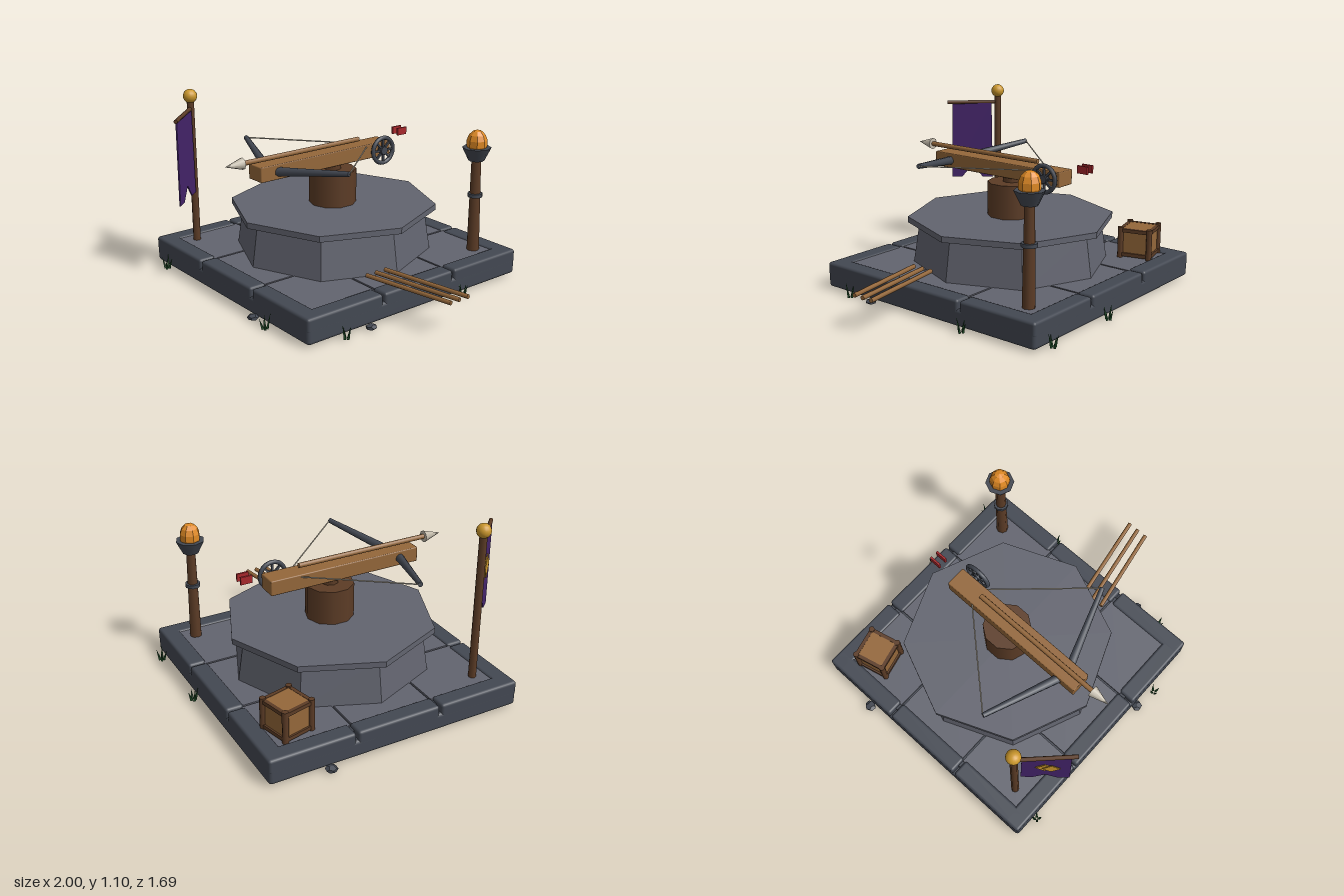
import * as THREE from 'three';
import { RoundedBoxGeometry } from 'three/addons/geometries/RoundedBoxGeometry.js';

const V = (x, y, z) => new THREE.Vector3(x, y, z);

export function createModel() {
  const mat = (name, color, extra = {}) => {
    const m = new THREE.MeshStandardMaterial({ color, ...extra });
    m.name = name;
    return m;
  };
  const stone = mat('stone', 0x62646f, { flatShading: true });
  const slate = mat('slate', 0x434852);
  const tan = mat('tanWood', 0x94673a);
  const brown = mat('darkWood', 0x5c3c26);
  const purple = mat('purpleCloth', 0x44246a, { side: THREE.DoubleSide });
  const gold = mat('gold', 0xcc982c);
  const orange = mat('flameOrange', 0xe08a24, { flatShading: true });
  const red = mat('redFletching', 0xa8282c);
  const bone = mat('paleMetal', 0xc4bcac);
  const green = mat('grassGreen', 0x1e4a26);

  const model = new THREE.Group();
  const CX = -0.16, CZ = -0.01;
  const add = (name, geo, material, x = 0, y = 0, z = 0, parent = model) => {
    const m = new THREE.Mesh(geo, material);
    m.name = name;
    m.position.set(x, y, z);
    parent.add(m);
    return m;
  };
  const group = (name, x, y, z) => {
    const g = new THREE.Group();
    g.name = name;
    g.position.set(x, y, z);
    model.add(g);
    return g;
  };
  const box = (w, h, d) => new THREE.BoxGeometry(w, h, d);
  const cyl = (rt, rb, h, n) => new THREE.CylinderGeometry(rt, rb, h, n);
  // Round rod from a to b
  const rod = (name, a, b, ra, rb, material, n = 8, parent = model) => {
    const dir = b.clone().sub(a);
    const m = add(name, cyl(rb, ra, dir.length(), n), material, 0, 0, 0, parent);
    m.position.copy(a).lerp(b, 0.5);
    m.quaternion.setFromUnitVectors(V(0, 1, 0), dir.normalize());
    return m;
  };

  // Foundation slab, rim blocks and floor tiles
  add('foundation', new RoundedBoxGeometry(1.56, 0.1, 1.56, 2, 0.02), slate, CX, 0.063, CZ);
  add('floorBed', box(1.45, 0.05, 1.45), slate, CX, 0.12, CZ);
  for (const i of [-1, 0, 1]) {
    for (const s of [-1, 1]) {
      add('rimBlock', new RoundedBoxGeometry(0.51, 0.085, 0.106, 2, 0.016), slate, CX + i * 0.525, 0.122, CZ + s * 0.727);
      add('rimBlock', new RoundedBoxGeometry(0.106, 0.085, 0.51, 2, 0.016), slate, CX + s * 0.727, 0.122, CZ + i * 0.525);
    }
    for (const j of [-1, 0, 1]) {
      const w = i ? 0.43 : 0.49, d = j ? 0.43 : 0.49;
      add('floorTile', box(w, 0.03, d), stone, CX + i * 0.472, 0.141, CZ + j * 0.472);
    }
  }

  // Octagonal platform and turntable
  add('platformWall', cyl(0.55, 0.59, 0.26, 8), stone, CX, 0.275, CZ);
  add('platformCap', cyl(0.62, 0.62, 0.035, 8), stone, CX, 0.418, CZ);
  add('pedestal', cyl(0.142, 0.142, 0.21, 10), brown, CX, 0.535, CZ);
  add('pedestalNeck', cyl(0.05, 0.05, 0.04, 8), brown, CX, 0.655, CZ);

  // Giant crossbow
  add('stock', new RoundedBoxGeometry(0.125, 0.09, 0.955, 1, 0.006), tan, CX, 0.715, 0.068);
  for (const s of [-1, 1]) {
    const tip = V(CX + s * 0.5, 0.775, 0.27);
    rod('bowLimb', V(CX + s * 0.03, 0.712, 0.435), tip, 0.027, 0.015, slate);
    rod('bowString', tip, V(CX, 0.742, -0.29), 0.004, 0.004, bone, 6);
    add('fletching', box(0.012, 0.045, 0.07), red, CX + s * 0.024, 0.788, -0.54);
  }
  rod('boltShaft', V(CX, 0.787, -0.208), V(CX, 0.787, 0.63), 0.015, 0.015, tan);
  rod('boltHead', V(CX, 0.787, 0.625), V(CX, 0.787, 0.74), 0.036, 0.0005, bone);

  // Winding wheel on the left side of the stock
  const wheel = group('windingWheel', -0.064, 0.717, -0.325);
  wheel.rotation.y = Math.PI / 2;
  add('wheelRim', new THREE.TorusGeometry(0.078, 0.013, 8, 24), slate, 0, 0, 0, wheel);
  add('wheelHub', cyl(0.025, 0.025, 0.03, 12), slate, 0, 0, 0, wheel).rotation.x = Math.PI / 2;
  for (let i = 0; i < 4; i++) {
    add('wheelSpoke', box(0.15, 0.012, 0.012), slate, 0, 0, 0, wheel).rotation.z = (i * Math.PI) / 4;
  }
  rod('wheelAxle', V(CX, 0.717, -0.325), V(-0.06, 0.717, -0.325), 0.014, 0.014, slate);

  // Torch
  const torch = group('torch', 0.44, 0, -0.612);
  add('torchPost', cyl(0.028, 0.037, 0.58, 8), brown, 0, 0.44, 0, torch);
  add('torchBand', cyl(0.045, 0.045, 0.022, 10), slate, 0, 0.502, 0, torch);
  add('torchBowl', cyl(0.086, 0.047, 0.08, 8), slate, 0, 0.754, 0, torch);
  add('flame', new THREE.SphereGeometry(0.062, 8, 7), orange, 0, 0.82, 0, torch).scale.y = 1.28;

  // Flag pole with hanging banner
  rod('flagPole', V(-0.76, 0.15, 0.59), V(-0.76, 1.03, 0.59), 0.023, 0.022, brown);
  add('poleBall', new THREE.SphereGeometry(0.042, 16, 12), gold, -0.76, 1.062, 0.59);
  rod('bannerBar', V(-0.765, 0.987, 0.585), V(-0.522, 0.987, 0.828), 0.012, 0.012, brown);
  const banner = group('banner', -0.637, 0, 0.71);
  banner.rotation.y = -0.86;
  const cloth = new THREE.Shape([[-0.13, 0.98], [-0.138, 0.475], [-0.07, 0.475], [0, 0.558], [0.07, 0.475], [0.138, 0.475], [0.13, 0.98]]
    .map(([x, y]) => new THREE.Vector2(x, y)));
  add('bannerCloth', new THREE.ExtrudeGeometry(cloth, { depth: 0.008, bevelEnabled: false }), purple, 0, 0, -0.004, banner);
  const diamond = new THREE.Shape([[0, -0.075], [0.05, 0], [0, 0.075], [-0.05, 0]]
    .map(([x, y]) => new THREE.Vector2(x, y)));
  for (const s of [-1, 1]) {
    add('bannerDiamond', new THREE.ExtrudeGeometry(diamond, { depth: 0.006, bevelEnabled: false }), gold,
      0.01 + s * 0.018, 0.765, s < 0 ? 0.004 : 0.008, banner);
  }

  // Crate with framed edges
  const crate = group('crate', -0.717, 0.253, -0.573);
  crate.rotation.y = 0.24;
  add('cratePanels', box(0.18, 0.17, 0.18), tan, 0, 0, 0, crate);
  for (const a of [-0.09, 0.09]) {
    for (const b of [-0.09, 0.09]) {
      add('cratePost', cyl(0.018, 0.018, 0.19, 8), brown, a, 0, b, crate);
      add('crateRail', box(0.18, 0.022, 0.022), brown, 0, a * 0.84, b, crate);
      add('crateRail', box(0.022, 0.022, 0.18), brown, b, a * 0.84, 0, crate);
    }
  }

  // Spare bolts leaning out past the rim
  for (const [z0, z1] of [[0.093, 0.0], [0.16, 0.064], [0.227, 0.127]]) {
    rod('spareBolt', V(0.44, 0.207, z0), V(0.996, 0.207, z1), 0.013, 0.013, tan);
  }

  // Loose rocks
  for (const [x, z, r] of [[-0.965, -0.445, 0.035], [0.65, 0.372, 0.033], [0.147, 0.79, 0.034]]) {
    const rock = add('rock', new THREE.DodecahedronGeometry(r), slate, x, 0.017, z);
    rock.scale.y = 0.5;
    rock.rotation.y = x * 5;
  }

  // Grass tufts
  for (const [x, z] of [[-0.01, -0.82], [0.5, -0.82], [0.65, -0.32], [0.655, 0.545], [-0.79, 0.79], [0.29, 0.81]]) {
    for (let k = 0; k < 4; k++) {
      const a = k * 1.6 + x * 7, c = Math.cos(a), s = Math.sin(a);
      rod('grassBlade', V(x + c * 0.012, 0.005, z + s * 0.012),
        V(x + c * 0.03, 0.065 + 0.012 * (k % 3), z + s * 0.03), 0.009, 0.0005, green, 4);
    }
  }
  return model;
}
